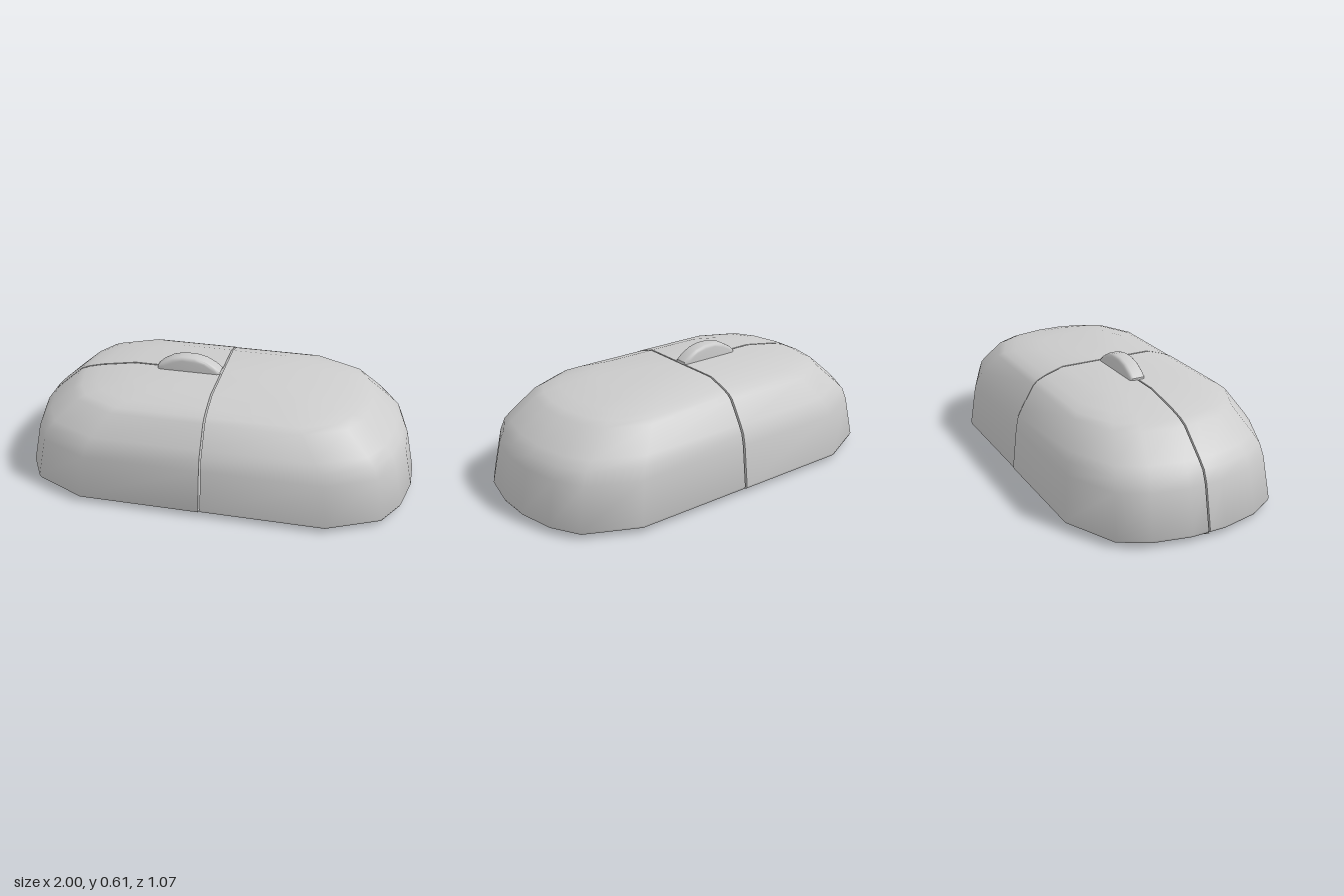
import * as THREE from 'three';
import { toCreasedNormals } from 'three/addons/utils/BufferGeometryUtils.js';

const material = new THREE.MeshStandardMaterial({ color: 0xcccccc });
const GAP = 0.008;

// Shell profile from bottom to top: [outline scale, height]
const levels = [
  [0.978, 0.02], [0.994, 0.025], [1, 0.038], [0.955, 0.25], [0.93, 0.31], [0.89, 0.35],
  [0.765, 0.46], [0.72, 0.48], [0.64, 0.5], [0.46, 0.53],
];

// One quarter of the plan outline, from the side seam to the end
const quarter = [[0, 0.532], [0.62, 0.532], [0.88, 0.41], [0.96, 0.27], [1, 0.085]];
const flip = (points, sx, sz) => points.map(([x, z]) => [x * sx, z * sz]);

// Solid lofted from a plan outline whose first corner is the centre of the shell
function shellPiece(name, outline) {
  const n = outline.length;
  const positions = [];
  const index = [];
  for (const [s, y] of levels) for (const [x, z] of outline) positions.push(x * s, y, z * s);
  for (let i = 0; i < levels.length - 1; i++) {
    for (let j = 0; j < n; j++) {
      const a = i * n + j, b = i * n + (j + 1) % n;
      index.push(a, b, b + n, a, b + n, a + n);
    }
  }
  const top = (levels.length - 1) * n;
  for (let j = 1; j < n - 1; j++) {
    index.push(top, top + j, top + j + 1);
    index.push(0, j + 1, j);
  }
  const geometry = new THREE.BufferGeometry();
  geometry.setAttribute('position', new THREE.Float32BufferAttribute(positions, 3));
  geometry.setIndex(index);
  const mesh = new THREE.Mesh(toCreasedNormals(geometry, 0.95), material);
  mesh.name = name;
  return mesh;
}

function extruded(name, points, depth, bevel) {
  const shape = new THREE.Shape(points.map(([x, y]) => new THREE.Vector2(x, y)));
  const geometry = new THREE.ExtrudeGeometry(shape, {
    depth: depth - 2 * bevel, bevelEnabled: bevel > 0, bevelSize: bevel,
    bevelThickness: bevel, bevelOffset: -bevel, bevelSegments: 3,
  });
  geometry.translate(0, 0, bevel - depth / 2);
  const mesh = new THREE.Mesh(toCreasedNormals(geometry, 0.7), material);
  mesh.name = name;
  return mesh;
}

export function createModel() {
  const group = new THREE.Group();
  group.name = 'computerMouse';

  // Palm rest: the whole +x half
  const back = flip(quarter, 1, -1).reverse();
  group.add(shellPiece('palmRest', [[0, 0], ...quarter, ...back]));

  // Two click buttons, split along the middle of the -x half
  const frontButton = shellPiece('frontButton',
    [[0, 0], [-1, 0], ...flip(quarter, -1, 1).reverse()]);
  const backButton = shellPiece('backButton',
    [[0, 0], ...flip(quarter, -1, -1), [-1, 0]]);
  for (const [button, side] of [[frontButton, 1], [backButton, -1]]) {
    button.scale.x = 1 - GAP;
    button.position.set(-GAP, 0, side * GAP / 2);
    group.add(button);
  }

  // Thin web at the bottom of the slot between the buttons, with its small foot
  const web = levels.slice(2).map(([s, y]) => [-s * 0.975, y - 0.015]);
  group.add(extruded('slotWeb',
    [[-0.02, 0.02], [-0.02, 0.515], ...web.reverse(), [-0.995, 0.02], [-0.96, 0]], GAP, 0));

  // Scroll wheel, a rounded arc standing out of the shell
  group.add(extruded('scrollWheel', [
    [-0.338, 0.48], [-0.008, 0.48], [-0.008, 0.54], [-0.035, 0.564], [-0.085, 0.592],
    [-0.14, 0.605], [-0.206, 0.605], [-0.261, 0.592], [-0.311, 0.564], [-0.338, 0.54],
  ], 0.082, 0.018));

  return group;
}
